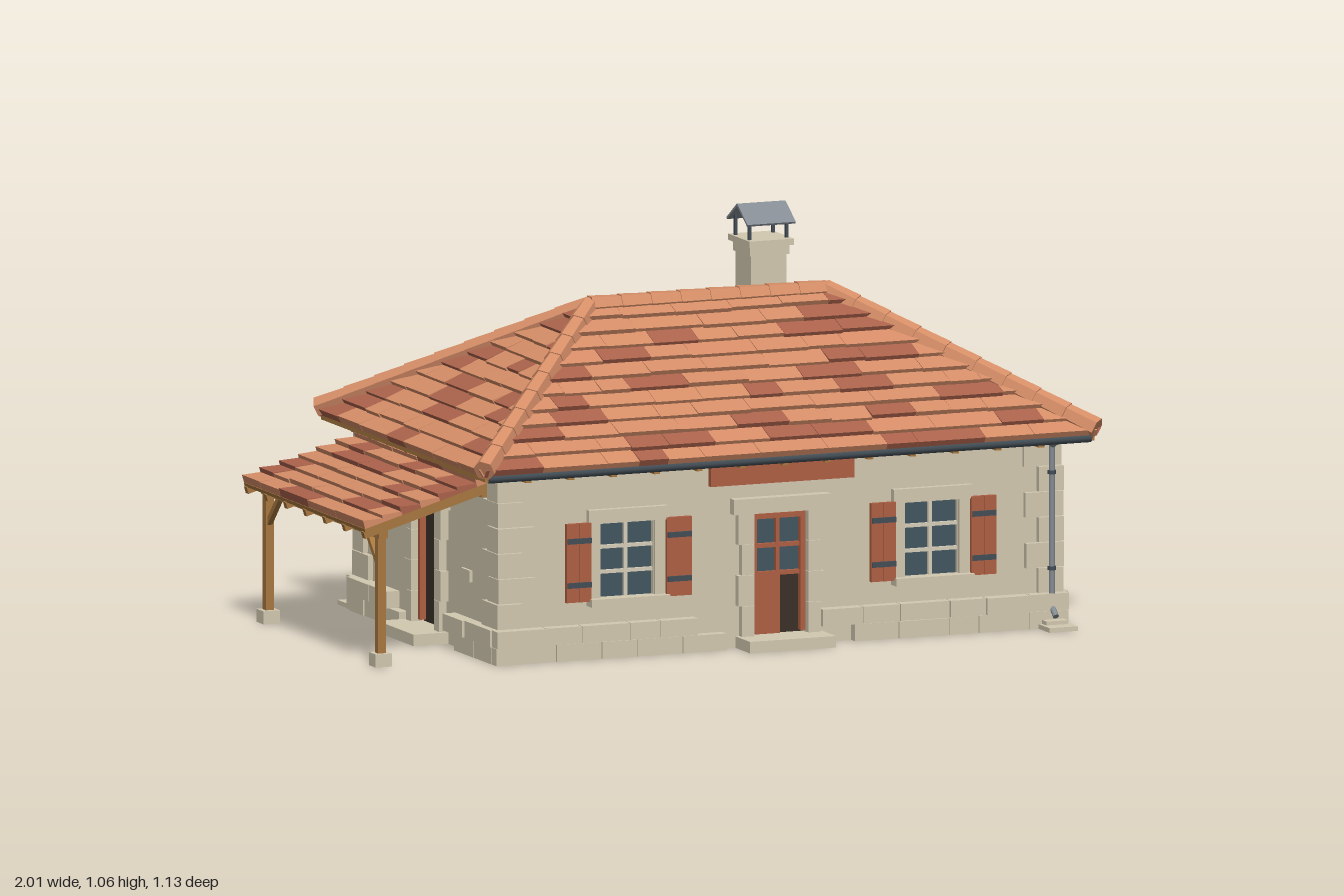
import * as THREE from 'three';

const mat = (name, color) => Object.assign(new THREE.MeshStandardMaterial({ color }), { name });
const M = {
  stone: mat('wall stone', 0xd3c9b1),
  trim: mat('pale trim', 0xd8cfba),
  tile: mat('clay tile', 0xd58d67),
  tileRed: mat('red clay tile', 0xab624b),
  red: mat('red paint', 0xb06044),
  glass: mat('window glass', 0x425660),
  wood: mat('timber', 0xa8773f),
  dark: mat('dark timber', 0x3a3027),
  iron: mat('dark iron', 0x434e56),
  metal: mat('zinc', 0x858c93),
};
const CX = 0.13, HX = 0.775, HZ = 0.465, WALL_H = 0.49;

let seed = 7;
const rnd = () => (seed = (seed * 16807) % 2147483647) / 2147483647;
const V = (x, y, z) => new THREE.Vector3(x, y, z);

function group(parent, name, x = 0, y = 0, z = 0) {
  const g = new THREE.Group();
  g.name = name;
  g.position.set(x, y, z);
  parent.add(g);
  return g;
}
function add(parent, name, geo, material) {
  const m = new THREE.Mesh(geo, material);
  m.name = name;
  parent.add(m);
  return m;
}
function box(parent, name, material, w, h, d, x, y, z) {
  const m = add(parent, name, new THREE.BoxGeometry(w, h, d), material);
  m.position.set(x, y, z);
  return m;
}
// bar between two points; six-sided bars are faceted
function rod(parent, name, material, p, q, r0, r1 = r0, sides = 10) {
  const d = q.clone().sub(p);
  let geo = new THREE.CylinderGeometry(r1, r0, d.length(), sides);
  if (sides === 6) {
    geo = geo.toNonIndexed();
    geo.computeVertexNormals();
  }
  const m = add(parent, name, geo, material);
  m.position.copy(p).addScaledVector(d, 0.5);
  m.quaternion.setFromUnitVectors(V(0, 1, 0), d.normalize());
}
// square bar between two points
function beam(parent, name, material, p, q, w, h) {
  const m = box(parent, name, material, w, h, p.distanceTo(q), 0, 0, 0);
  m.position.copy(p).lerp(q, 0.5);
  m.quaternion.setFromRotationMatrix(new THREE.Matrix4().lookAt(q, p, V(0, 1, 0)));
}

// Rows of uneven tiles on a sloping face; half-width runs from w0 (eave) to w1 (top)
function tiledSlope(parent, name, origin, u, slope, w0, w1, rows) {
  const n = u.clone().cross(slope).normalize();
  const sets = [[], []];
  const P = (a, t, h) => origin.clone().addScaledVector(u, a).addScaledVector(slope, t).addScaledVector(n, h);
  const width = t => w0 + (w1 - w0) * t;
  for (let i = 0; i < rows; i++) {
    const t0 = i / rows, t1 = (i + 1) / rows, e0 = width(t0), e1 = width(t1);
    let a = -e0;
    while (a < e0 - 1e-4) {
      let b = a + 0.08 + rnd() * 0.11;
      if (b > e0 - 0.05) b = e0;
      const lim = x => THREE.MathUtils.clamp(x, -e1, e1);
      const ta = t0 - (i ? rnd() * 0.01 : 0), h = 0.019 + rnd() * 0.005, g = 0.0006;
      const c = [P(a + g, ta, 0), P(b - g, ta, 0), P(lim(b - g), t1, 0), P(lim(a + g), t1, 0),
        P(a + g, ta, h), P(b - g, ta, h), P(lim(b - g), t1, 0.01), P(lim(a + g), t1, 0.01)];
      const out = sets[rnd() < 0.72 ? 0 : 1];
      for (const [p, q, s, v] of [[4, 5, 6, 7], [0, 1, 5, 4], [1, 2, 6, 5], [3, 0, 4, 7]])
        for (const k of [p, q, s, p, s, v]) out.push(c[k].x, c[k].y, c[k].z);
      a = b;
    }
  }
  const g = group(parent, name);
  sets.forEach((pos, i) => {
    const geo = new THREE.BufferGeometry();
    geo.setAttribute('position', new THREE.Float32BufferAttribute(pos, 3));
    geo.computeVertexNormals();
    add(g, 'tiles', geo, [M.tile, M.tileRed][i]);
  });
}

// Facade pieces use a local frame: x along the wall, y up, z outward
function windowUnit(f, x, shutters) {
  const g = group(f, 'window', x);
  box(g, 'glass', M.glass, 0.15, 0.195, 0.006, 0, 0.2525, -0.016);
  box(g, 'windowBar', M.trim, 0.01, 0.195, 0.012, 0, 0.2525, -0.008);
  for (const y of [0.221, 0.286]) box(g, 'windowBar', M.trim, 0.15, 0.009, 0.011, 0, y, -0.008);
  box(g, 'lintel', M.stone, 0.22, 0.036, 0.022, 0, 0.368, 0.006);
  box(g, 'sill', M.stone, 0.22, 0.02, 0.04, 0, 0.146, 0.014);
  if (!shutters) return;
  for (const s of [-1, 1]) {
    box(g, 'jamb', M.stone, 0.025, 0.195, 0.016, s * 0.0885, 0.2525, 0.004);
    for (const k of [-1, 1]) box(g, 'shutterPlank', M.red, 0.034, 0.205, 0.012, s * 0.14 + k * 0.0175, 0.2525, 0.016);
    for (const y of [0.195, 0.31]) box(g, 'shutterStrap', M.iron, 0.066, 0.014, 0.006, s * 0.14, y, 0.024);
  }
}
function doorUnit(f, x, glazed) {
  const g = group(f, 'door', x);
  for (const s of [-1, 1]) {
    box(g, 'doorPost', M.red, 0.014, 0.31, 0.016, s * 0.068, 0.19, -0.006);
    for (let i = 0; i < 4; i++) {
      const w = i % 2 ? 0.045 : 0.035;
      box(g, 'jambStone', M.stone, w, 0.079, 0.026, s * (0.075 + w / 2), 0.07 + i * 0.08, 0.008);
    }
  }
  box(g, 'doorHead', M.red, 0.15, 0.014, 0.016, 0, 0.338, -0.006);
  box(g, 'lintel', M.stone, 0.27, 0.04, 0.032, 0, 0.37, 0.012);
  box(g, 'step', M.stone, 0.24, 0.03, 0.1, 0, 0.015, 0.047);
  box(g, 'doorPanel', M.dark, 0.15, glazed ? 0.155 : 0.315, 0.01, 0, glazed ? 0.1075 : 0.1875, -0.02);
  if (!glazed) return;
  box(g, 'doorGlass', M.glass, 0.15, 0.16, 0.008, 0, 0.265, -0.02);
  for (const k of [0, 1]) box(g, 'doorPlank', M.red, 0.034, 0.155, 0.008, -0.044 + k * 0.0345, 0.1075, -0.009);
  box(g, 'doorBar', M.red, 0.01, 0.15, 0.012, 0, 0.26, -0.01);
  for (const y of [0.187, 0.26]) box(g, 'doorBar', M.red, 0.13, 0.011, 0.011, 0, y, -0.01);
}
function facade(house, name, theta, half, dist, windows, doors, shutters, ends) {
  const f = group(house, name, CX + Math.sin(theta) * dist, 0, Math.cos(theta) * dist);
  f.rotation.y = theta;
  const rect = (T, x0, y0, x1, y1) => new T([V(x0, y0, 0), V(x1, y0, 0), V(x1, y1, 0), V(x0, y1, 0)]);
  const shape = rect(THREE.Shape, -half, 0, half, WALL_H);
  windows.forEach(x => shape.holes.push(rect(THREE.Path, x - 0.075, 0.155, x + 0.075, 0.35)));
  doors.forEach(d => shape.holes.push(rect(THREE.Path, d.x - 0.075, 0.03, d.x + 0.075, 0.345)));
  add(f, 'wall', new THREE.ExtrudeGeometry(shape, { depth: 0.025, bevelEnabled: false }).translate(0, 0, -0.025), M.stone);
  windows.forEach(x => windowUnit(f, x, shutters));
  doors.forEach(d => doorUnit(f, d.x, d.glazed));
  // two plinth courses, broken at doors
  for (let row = 0; row < 2; row++) {
    const end = half + ends;
    for (let a = -end; a < end - 0.001;) {
      let b = a + 0.075 + rnd() * 0.07;
      if (b > end - 0.05) b = end;
      const d = 0.022 + row * 0.006 + rnd() * 0.009, mid = (a + b) / 2;
      if (!doors.some(o => b > o.x - 0.1 && a < o.x + 0.1))
        box(f, 'plinthStone', M.stone, b - a - 0.002, 0.044, d, mid, 0.022 + row * 0.045, d / 2);
      a = b;
    }
  }
  // rafter tails under the eaves
  const count = Math.round(half * 2 / 0.118);
  for (let i = 0; i < count; i++)
    box(f, 'rafterTail', M.wood, 0.016, 0.015, 0.09, -half + (i + 0.5) * half * 2 / count, 0.482, 0);
  return f;
}

function buildClock(f) {
  const g = group(f, 'clock', 0.2, 0.367, 0);
  const disc = (name, m, r, d, sides) => add(g, name, new THREE.CylinderGeometry(r, r, d, sides).rotateX(Math.PI / 2).translate(0, 0, d / 2), m);
  disc('stoneSurround', M.stone, 0.092, 0.014, 16);
  disc('clockFace', M.trim, 0.074, 0.018, 32);
  add(g, 'clockRim', new THREE.TorusGeometry(0.075, 0.0038, 6, 32).translate(0, 0, 0.018), M.wood);
  const mark = (name, w, len, r, angle) => {
    const m = add(g, name, new THREE.BoxGeometry(w, len, 0.004).translate(0, r, 0.02), M.iron);
    m.rotation.z = angle;
  };
  for (let i = 0; i < 12; i++) mark('hourMark', 0.005, 0.013, 0.054, i * Math.PI / 6);
  mark('hourHand', 0.008, 0.038, 0.016, 0.5);
  mark('minuteHand', 0.007, 0.05, 0.022, -0.5);
  box(f, 'clockLedge', M.stone, 0.165, 0.012, 0.025, 0.2, 0.27, 0.0125);
}

function buildRoof(house) {
  const roof = group(house, 'roof');
  const ex = 0.855, ez = 0.545, rx = 0.33, y0 = 0.502, rise = 0.325;
  box(roof, 'eavesBoard', M.wood, ex * 2 - 0.01, 0.014, ez * 2 - 0.01, CX, 0.496, 0);
  [['frontSlope', 0, ez, ez, ex, rx], ['backSlope', Math.PI, ez, ez, ex, rx],
    ['leftSlope', Math.PI / 2, ex, ex - rx, ez, 0], ['rightSlope', -Math.PI / 2, ex, ex - rx, ez, 0],
  ].forEach(([name, th, dist, run, w0, w1]) => {
    const s = Math.sin(th), c = Math.cos(th);
    tiledSlope(roof, name, V(CX + s * dist, y0, c * dist), V(c, 0, -s), V(-s * run, rise, -c * run), w0, w1, 11);
  });
  // overlapping ridge and hip tiles
  const caps = (p, q, n) => {
    for (let i = 0; i < n; i++)
      rod(roof, 'ridgeTile', M.tile, p.clone().lerp(q, i / n), p.clone().lerp(q, (i + 1.05) / n), 0.029, 0.026, 6);
  };
  for (const sx of [-1, 1]) for (const sz of [-1, 1])
    caps(V(CX + sx * ex, y0 + 0.018, sz * ez), V(CX + sx * rx, y0 + rise + 0.006, 0), 9);
  caps(V(CX - rx, y0 + rise + 0.006, 0), V(CX + rx, y0 + rise + 0.006, 0), 8);
  // gutters, downpipes and splash stones
  for (const s of [-1, 1]) {
    rod(roof, 'gutter', M.iron, V(CX - 0.84, 0.497, s * 0.538), V(CX + 0.84, 0.497, s * 0.538), 0.012);
    const x = CX + s * 0.755;
    const path = [V(x, 0.495, s * 0.53), V(x, 0.475, s * 0.485), V(x, 0.055, s * 0.485), V(x, 0.032, s * 0.512)];
    for (let i = 0; i < 3; i++) rod(roof, 'downpipe', M.metal, path[i], path[i + 1], 0.008);
    for (const y of [0.15, 0.4]) rod(roof, 'pipeClip', M.iron, V(x, y, s * 0.485), V(x, y + 0.01, s * 0.485), 0.011);
    box(roof, 'splashStone', M.stone, 0.08, 0.012, 0.1, x, 0.006, s * 0.513);
    box(roof, 'splashStone', M.stone, 0.06, 0.01, 0.06, x, 0.017, s * 0.49);
  }
}

function buildChimney(house) {
  const g = group(house, 'chimney', 0.315, 0, -0.085);
  box(g, 'stack', M.stone, 0.1, 0.26, 0.1, 0, 0.82, 0);
  box(g, 'collar', M.stone, 0.11, 0.025, 0.112, 0, 0.94, 0);
  box(g, 'cap', M.stone, 0.125, 0.016, 0.14, 0, 0.961, 0);
  for (const sx of [-1, 1]) for (const sz of [-1, 1])
    box(g, 'cowlLeg', M.iron, 0.008, 0.055, 0.008, sx * 0.052, 0.995, sz * 0.045);
  for (const s of [-1, 1])
    beam(g, 'cowlSheet', M.metal, V(0, 1.01, s * 0.068), V(0, 1.055, 0), 0.135, 0.006);
}

function buildPorch(house) {
  const g = group(house, 'porch');
  const low = V(-0.995, 0.364, 0), high = V(-0.63, 0.469, 0);
  const at = (p, z, dy) => V(p.x, p.y + dy, z);
  tiledSlope(g, 'porchTiles', low, V(0, 0, 1), high.clone().sub(low), 0.4, 0.4, 7);
  beam(g, 'porchDeck', M.wood, at(low, 0, -0.005), at(high, 0, -0.005), 0.795, 0.01);
  for (let i = 0; i < 7; i++) {
    const z = -0.385 + i * 0.77 / 6;
    beam(g, 'porchRafter', M.wood, at(low, z, -0.018), at(high, z, -0.018), 0.018, 0.018);
  }
  box(g, 'porchBeam', M.wood, 0.024, 0.024, 0.78, -0.94, 0.346, 0);
  box(g, 'wallPlate', M.wood, 0.02, 0.022, 0.78, -0.657, 0.435, 0);
  for (const s of [-1, 1]) {
    box(g, 'postFoot', M.stone, 0.046, 0.034, 0.046, -0.94, 0.017, s * 0.37);
    box(g, 'post', M.wood, 0.022, 0.31, 0.022, -0.94, 0.187, s * 0.37);
    beam(g, 'postBrace', M.wood, V(-0.94, 0.26, s * 0.365), V(-0.94, 0.338, s * 0.29), 0.014, 0.014);
  }
}

export function createModel() {
  const house = new THREE.Group();
  house.name = 'house';
  const front = facade(house, 'frontWall', 0, HX, HZ, [-0.425, 0.425], [{ x: 0, glazed: true }], true, 0.025);
  const back = facade(house, 'backWall', Math.PI, HX, HZ, [-0.425, 0, 0.425], [], true, 0.025);
  const left = facade(house, 'clockWall', Math.PI / 2, HZ, HX, [-0.185], [], false, 0);
  const right = facade(house, 'porchWall', -Math.PI / 2, HZ, HX, [], [{ x: 0, glazed: false }], false, 0);
  box(front, 'signBoard', M.red, 0.4, 0.058, 0.018, 0, 0.457, 0.02);
  buildClock(left);
  // stray stones showing through the plaster
  [[left, 0.305, 0.205, 0.05], [left, 0.225, 0.125, 0.085], [back, -0.22, 0.43, 0.06], [back, 0.2, 0.2, 0.05],
    [back, 0.6, 0.42, 0.06], [back, -0.63, 0.14, 0.06], [back, 0.24, 0.4, 0.05], [right, 0.25, 0.2, 0.06], [right, -0.24, 0.3, 0.05],
  ].forEach(([f, x, y, w]) => box(f, 'wallStone', M.stone, w, 0.03, 0.008, x, y, 0.004));
  // alternating corner stones
  for (const sx of [-1, 1]) for (const sz of [-1, 1]) for (let i = 0; i < 6; i++) {
    const lx = i % 2 ? 0.105 : 0.07, lz = i % 2 ? 0.07 : 0.105, p = 0.011 + rnd() * 0.005;
    box(house, 'cornerStone', M.stone, lx, 0.064, lz,
      CX + sx * (HX + p - lx / 2), 0.123 + i * 0.066, sz * (HZ + p - lz / 2));
  }
  buildRoof(house);
  buildChimney(house);
  buildPorch(house);
  return house;
}
